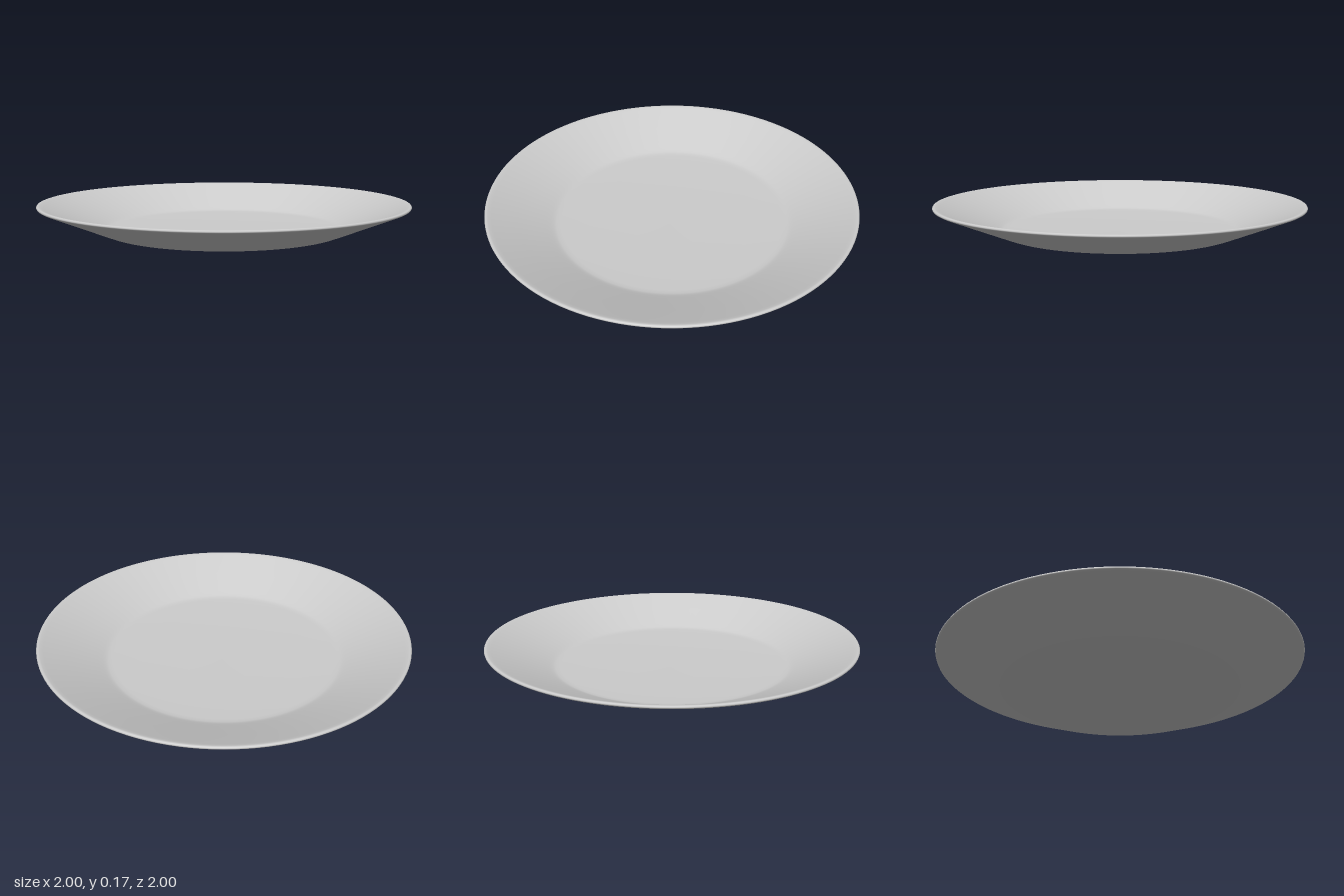
import * as THREE from 'three';

const material = new THREE.MeshStandardMaterial({ color: 0xcccccc });

// Closed profile [radius, height]: underside, rolled rim, then the eating surface
const profile = [
  // slightly bowed underside
  [0, 0], [0.25, 0.002], [0.46, 0.005], [0.6, 0.009], [0.63, 0.011],
  // foot bend and outer flare
  [0.645, 0.014], [0.66, 0.019], [0.69, 0.031], [0.84, 0.093], [0.97, 0.147],
  // rounded rim
  [0.99, 0.155], [0.998, 0.16], [1, 0.165], [0.997, 0.17], [0.99, 0.172], [0.982, 0.17],
  // inner flare and floor bend
  [0.965, 0.164], [0.83, 0.107], [0.69, 0.048], [0.665, 0.038], [0.65, 0.032], [0.635, 0.028],
  // floor
  [0.61, 0.026], [0.46, 0.021], [0.25, 0.018], [0, 0.016],
].map(([r, y]) => new THREE.Vector2(r, y));

export function createModel() {
  const group = new THREE.Group();
  group.name = 'dinnerPlate';

  const plate = new THREE.Mesh(new THREE.LatheGeometry(profile, 128), material);
  plate.name = 'plate';
  group.add(plate);

  return group;
}
